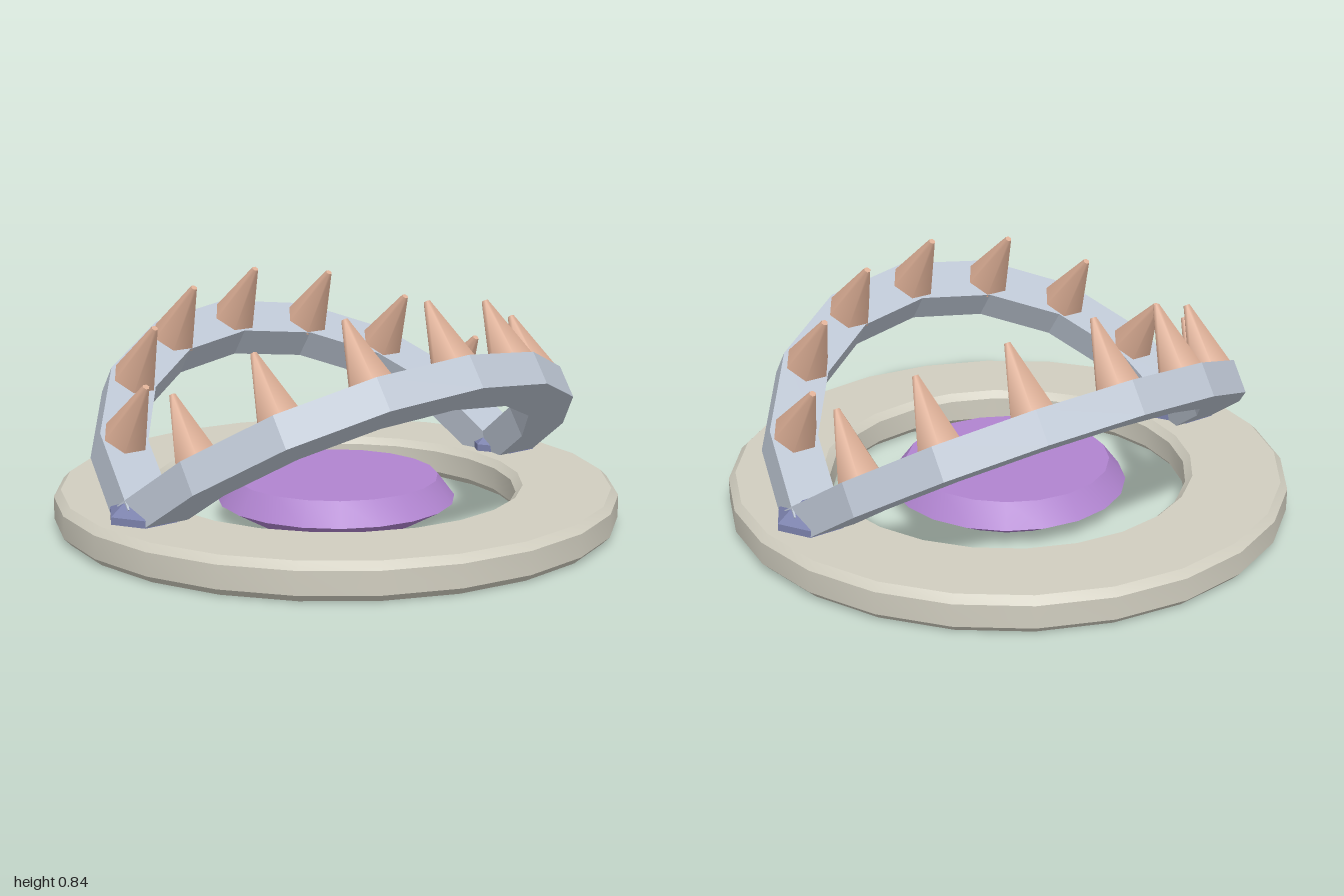
import * as THREE from 'three';
import { toCreasedNormals } from 'three/addons/utils/BufferGeometryUtils.js';

const material = (name, color) => {
  const m = new THREE.MeshStandardMaterial({ color });
  m.name = name;
  return m;
};

const part = (name, geometry, mat) => {
  const m = new THREE.Mesh(geometry, mat);
  m.name = name;
  return m;
};

// Turned solid: round sides stay smooth, bevel edges stay sharp
const turned = (profile, sides, crease = 0.45) =>
  toCreasedNormals(new THREE.LatheGeometry(profile.map(([r, y]) => new THREE.Vector2(r, y)), sides), crease);

const STEP = Math.PI / 8; // eight straight pieces per jaw
const TILT = THREE.MathUtils.degToRad(35);
const PIVOT_Y = 0.13;
const THICK = 0.12;
const OUTER = 0.89, INNER = 0.72, SPIKE_RADIUS = 0.8;

// Half ring lying flat, opening towards -x
function jawGeometry() {
  const points = [];
  for (let i = -4; i <= 4; i++) {
    points.push(new THREE.Vector2(Math.cos(i * STEP) * OUTER, Math.sin(i * STEP) * OUTER));
  }
  for (let i = 4; i >= -4; i--) {
    points.push(new THREE.Vector2(Math.cos(i * STEP) * INNER, Math.sin(i * STEP) * INNER));
  }
  const g = new THREE.ExtrudeGeometry(new THREE.Shape(points), { depth: THICK, bevelEnabled: false });
  g.translate(0, 0, -THICK / 2);
  g.rotateX(-Math.PI / 2);
  return g;
}

export function createModel() {
  const stone = material('pale stone', 0xd0cdbf);
  const violet = material('violet', 0xb084cf);
  const steel = material('light steel', 0xbcc5d2);
  const copper = material('copper', 0xdcae95);
  const slate = material('slate blue', 0x7c82ad);

  const model = new THREE.Group();
  model.name = 'jawTrap';

  // Bevelled base ring
  model.add(part('baseRing', turned([
    [0.665, 0], [0.975, 0], [1, 0.025], [1, 0.105], [0.975, 0.13],
    [0.665, 0.13], [0.64, 0.105], [0.64, 0.025], [0.665, 0],
  ], 24), stone));

  // Pressure plate in the middle
  model.add(part('pressurePlate', turned([
    [0, 0], [0.3, 0], [0.425, 0.07], [0.365, 0.15], [0, 0.15],
  ], 20), violet));

  // Two jaws, each a tilted half ring with seven spikes
  const jawShape = jawGeometry();
  const spikeShape = new THREE.CylinderGeometry(0.012, 0.085, 0.25, 6);
  for (const side of ['left', 'right']) {
    const half = new THREE.Group();
    half.name = side + 'Half';
    half.rotation.y = side === 'left' ? 0 : Math.PI;

    const jaw = new THREE.Group();
    jaw.name = side + 'Jaw';
    jaw.position.y = PIVOT_Y;
    jaw.rotation.z = TILT;
    jaw.add(part('jawBar', jawShape, steel));

    for (let i = -3; i <= 3; i++) {
      const spike = part('spike', spikeShape, copper);
      spike.position.set(Math.cos(i * STEP) * SPIKE_RADIUS, 0.175, Math.sin(i * STEP) * SPIKE_RADIUS);
      jaw.add(spike);
    }
    half.add(jaw);
    model.add(half);
  }

  // Six-sided domed hinges at front and back
  const hingeShape = turned([
    [0, 0.004], [0.06, 0.004], [0.125, 0.06], [0.125, 0.155], [0.08, 0.19], [0.03, 0.21], [0, 0.21],
  ], 6, 0.1);
  for (const z of [0.81, -0.81]) {
    const hinge = part(z > 0 ? 'frontHinge' : 'backHinge', hingeShape, slate);
    hinge.position.z = z;
    model.add(hinge);
  }

  return model;
}
